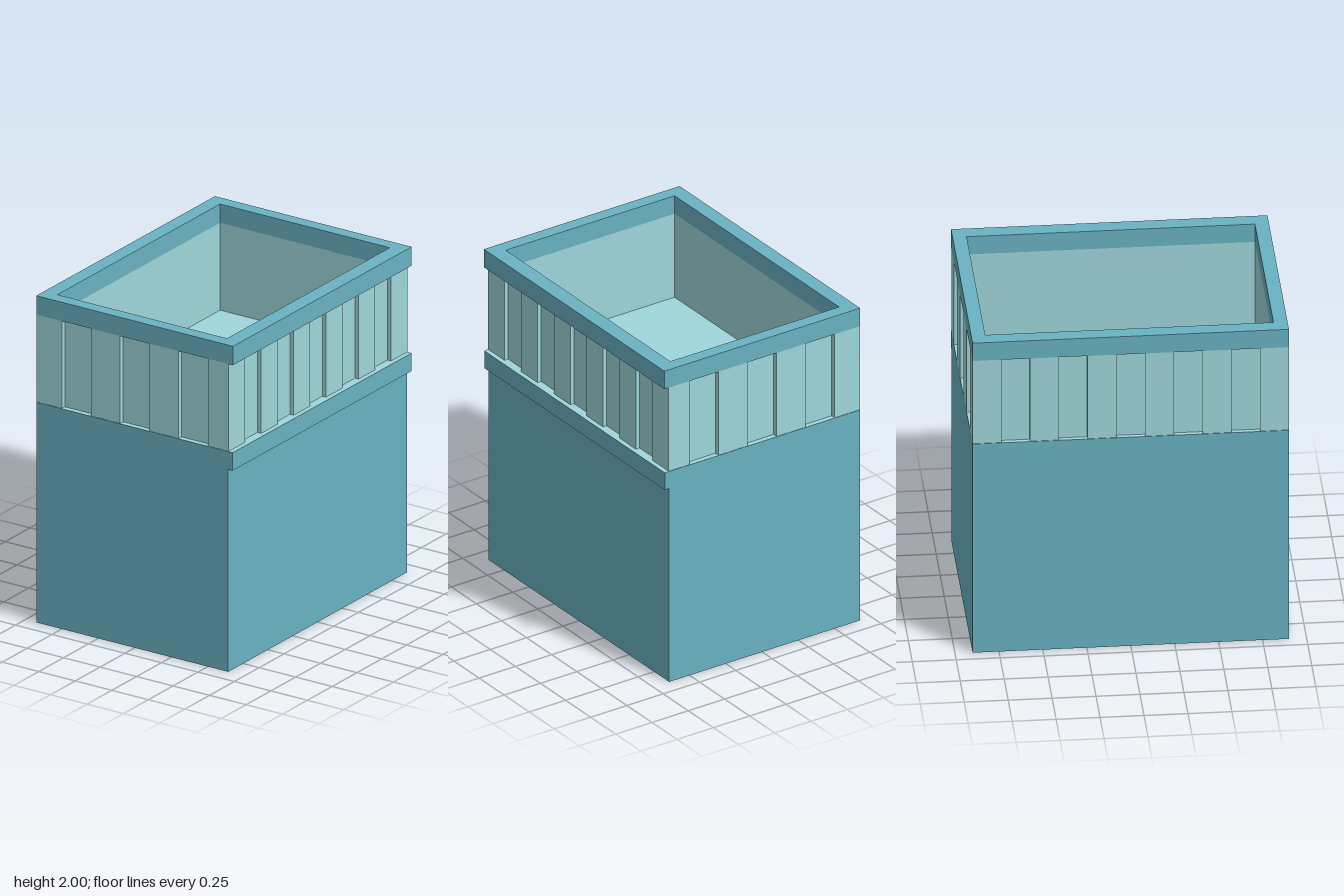
import * as THREE from 'three';

const blue = new THREE.MeshStandardMaterial({ color: 0x6ab2c3 });
const pale = new THREE.MeshStandardMaterial({ color: 0x9fd7db });

// Rectangle corners, counter-clockwise in plan
const rect = (x0, x1, z) => [[x0, -z], [x1, -z], [x1, z], [x0, z]].map(p => new THREE.Vector2(...p));

// Extrudes a hollow plan upward from y0 to y1
function ring(name, outer, inner, y0, y1, material) {
  const shape = new THREE.Shape(outer);
  shape.holes.push(new THREE.Path(inner));
  const geo = new THREE.ExtrudeGeometry(shape, { depth: y1 - y0, bevelEnabled: false });
  geo.rotateX(-Math.PI / 2).translate(0, y0, 0);
  const mesh = new THREE.Mesh(geo, material);
  mesh.name = name;
  return mesh;
}

function box(name, x0, x1, y0, y1, z, material) {
  const mesh = new THREE.Mesh(new THREE.BoxGeometry(x1 - x0, y1 - y0, 2 * z), material);
  mesh.position.set((x0 + x1) / 2, (y0 + y1) / 2, 0);
  mesh.name = name;
  return mesh;
}

// Plan of the upper wall: shallow vertical recesses stepped into all four sides
function recessedPlan(x0, x1, z) {
  const pts = [];
  const xs = [-0.5, -0.3, -0.1, 0.1, 0.3, 0.5];
  const zs = Array.from({ length: 10 }, (_, i) => -z + (i + 1) * 2 * z / 11);
  const side = (cuts, place, depth) => {
    for (let i = 0; i < cuts.length; i += 2) {
      pts.push(place(cuts[i], 0), place(cuts[i], depth), place(cuts[i + 1], depth), place(cuts[i + 1], 0));
    }
  };
  const v = (x, y) => new THREE.Vector2(x, y);
  pts.push(v(x0, -z));
  side(xs, (t, d) => v(t, -z + d), 0.03);
  pts.push(v(x1, -z));
  side(zs, (t, d) => v(x1 - d, t), 0.025);
  pts.push(v(x1, z));
  side(xs, (t, d) => v(-t, z - d), 0.03);
  pts.push(v(x0, z));
  side(zs, (t, d) => v(x0 + d, -t), 0.025);
  return pts;
}

export function createModel() {
  const g = new THREE.Group();
  g.name = 'building';

  // Thick lower walls, open underneath
  g.add(ring('lowerWalls', rect(-0.675, 0.64, 0.9), rect(-0.505, 0.47, 0.72), 0, 1.348, blue));

  // Ledge along one side
  g.add(box('sideLedge', 0.64, 0.67, 1.238, 1.348, 0.9, blue));

  // Floor slab inside the walls and the pale deck that tops walls and ledge
  g.add(box('floorSlab', -0.505, 0.47, 1.24, 1.348, 0.72, pale));
  const deck = new THREE.Mesh(new THREE.PlaneGeometry(1.345, 1.8).rotateX(-Math.PI / 2), pale);
  deck.position.set(-0.0025, 1.35, 0);
  deck.name = 'deck';
  g.add(deck);

  // Recessed upper walls and the parapet rim
  const inner = rect(-0.585, 0.577, 0.82);
  g.add(ring('upperWalls', recessedPlan(-0.675, 0.643, 0.9), inner, 1.35, 1.885, pale));
  g.add(ring('topRim', rect(-0.675, 0.673, 0.9), inner, 1.885, 2, blue));
  return g;
}
